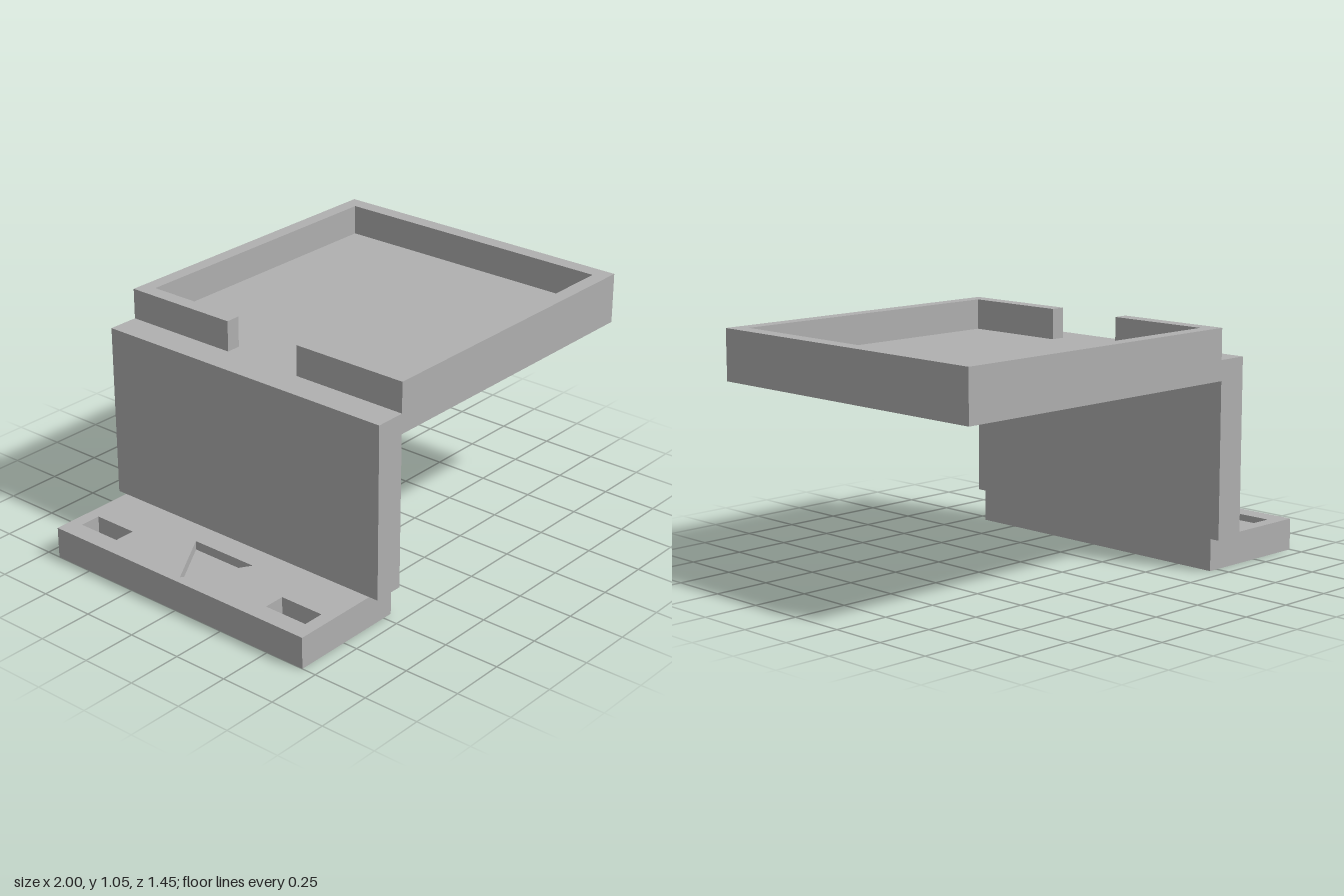
import * as THREE from 'three';

const polygon = (points, Type = THREE.Shape) =>
  new Type(points.map(([x, y]) => new THREE.Vector2(x, y)));

const rect = (x0, x1, z0, z1) => [[x0, z0], [x1, z0], [x1, z1], [x0, z1]];

// Extrudes an x/z outline between two heights
function slab(outline, holes, bottom, top) {
  const shape = polygon(outline);
  shape.holes = holes.map((h) => polygon(h, THREE.Path));
  return new THREE.ExtrudeGeometry(shape, { depth: top - bottom, bevelEnabled: false })
    .rotateX(Math.PI / 2)
    .translate(0, top, 0);
}

export function createModel() {
  const group = new THREE.Group();
  const grey = new THREE.MeshStandardMaterial({ color: 0xb0b0b0 });
  grey.name = 'grey plastic';

  const add = (name, geometry) => {
    const mesh = new THREE.Mesh(geometry, grey);
    mesh.name = name;
    group.add(mesh);
  };

  // Mounting foot: two layers, with through slots and a shallow arrow recess
  const foot = rect(-1, -0.455, -0.684, 0.684);
  const slots = [-1, 1].map((s) => rect(-0.914, -0.818, s * 0.523 - 0.103, s * 0.523 + 0.103));
  const arrow = [[-0.968, 0], [-0.706, -0.16], [-0.706, 0.16]];
  add('footLower', slab(foot, slots, 0, 0.1));
  add('footUpper', slab(foot, [...slots, arrow], 0.1, 0.14));

  // Upright wall and tray floor as one bent profile across the depth
  const profile = polygon([
    [-0.594, 0.14], [-0.455, 0.14], [-0.455, 0.823],
    [1, 0.823], [1, 0.912], [-0.594, 0.912],
  ]);
  add('uprightAndTrayFloor', new THREE.ExtrudeGeometry(profile, { depth: 1.454, bevelEnabled: false })
    .translate(0, 0, -0.727));

  // Tray rim, open in the middle of the side above the upright
  const half = [[-0.455, 0.187], [-0.455, 0.727], [1, 0.727]];
  const inner = [[0.93, 0.663], [-0.39, 0.663], [-0.39, 0.187]];
  const mirror = (points) => points.map(([x, z]) => [x, -z]).reverse();
  add('trayRim', slab([...half, ...mirror(half), ...mirror(inner), ...inner], [], 0.912, 1.047));

  return group;
}
